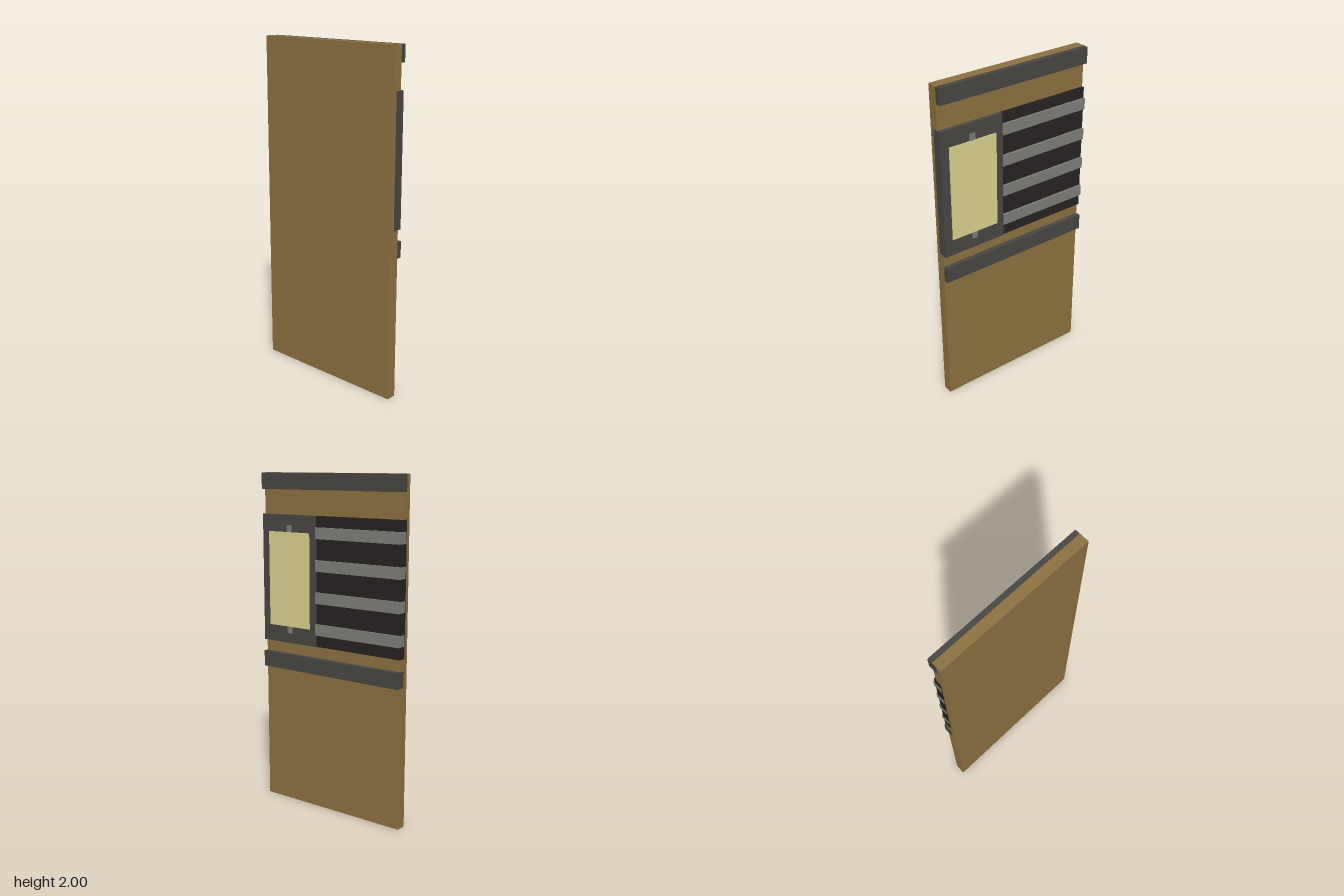
import * as THREE from 'three';

const material = (color) => new THREE.MeshStandardMaterial({ color, flatShading: true });

export function createModel() {
  const model = new THREE.Group();
  const wood = material(0x8c7140);
  const iron = material(0x484642);
  const black = material(0x262221);
  const steel = material(0x7d7e78);
  const glass = material(0xdbd18e);

  // Box given by its limits along x, y and z
  const slab = (name, mat, [x0, x1], [y0, y1], [z0, z1]) => {
    const mesh = new THREE.Mesh(new THREE.BoxGeometry(x1 - x0, y1 - y0, z1 - z0), mat);
    mesh.position.set((x0 + x1) / 2, (y0 + y1) / 2, (z0 + z1) / 2);
    mesh.name = name;
    model.add(mesh);
  };

  // Main board
  slab('doorPanel', wood, [-0.045, 0.015], [0, 2], [-0.485, 0.485]);

  // Cross rails, let into the board
  slab('topRail', iron, [-0.015, 0.045], [1.905, 1.9995], [-0.4855, 0.4845]);
  slab('middleRail', iron, [-0.015, 0.045], [0.835, 0.93], [-0.4855, 0.4845]);

  // Window plate with its pane and the round bar behind it
  slab('windowPlate', iron, [-0.02, 0.0375], [1.0, 1.76], [0.09, 0.4855]);
  slab('windowPane', glass, [0.02, 0.043], [1.1, 1.66], [0.135, 0.435]);
  const bar = new THREE.Mesh(new THREE.CylinderGeometry(0.0425, 0.0425, 0.64, 32), steel);
  bar.position.set(0, 1.38, 0.285);
  bar.name = 'windowBar';
  model.add(bar);

  // Dark vent with four slats
  slab('ventPlate', black, [-0.02, 0.03], [1.0, 1.76], [-0.4855, 0.09]);
  for (let i = 0; i < 4; i++) {
    const y = 1.103 + i * 0.187;
    slab('ventSlat', steel, [-0.015, 0.043], [y - 0.033, y + 0.033], [-0.486, 0.09]);
  }
  return model;
}
